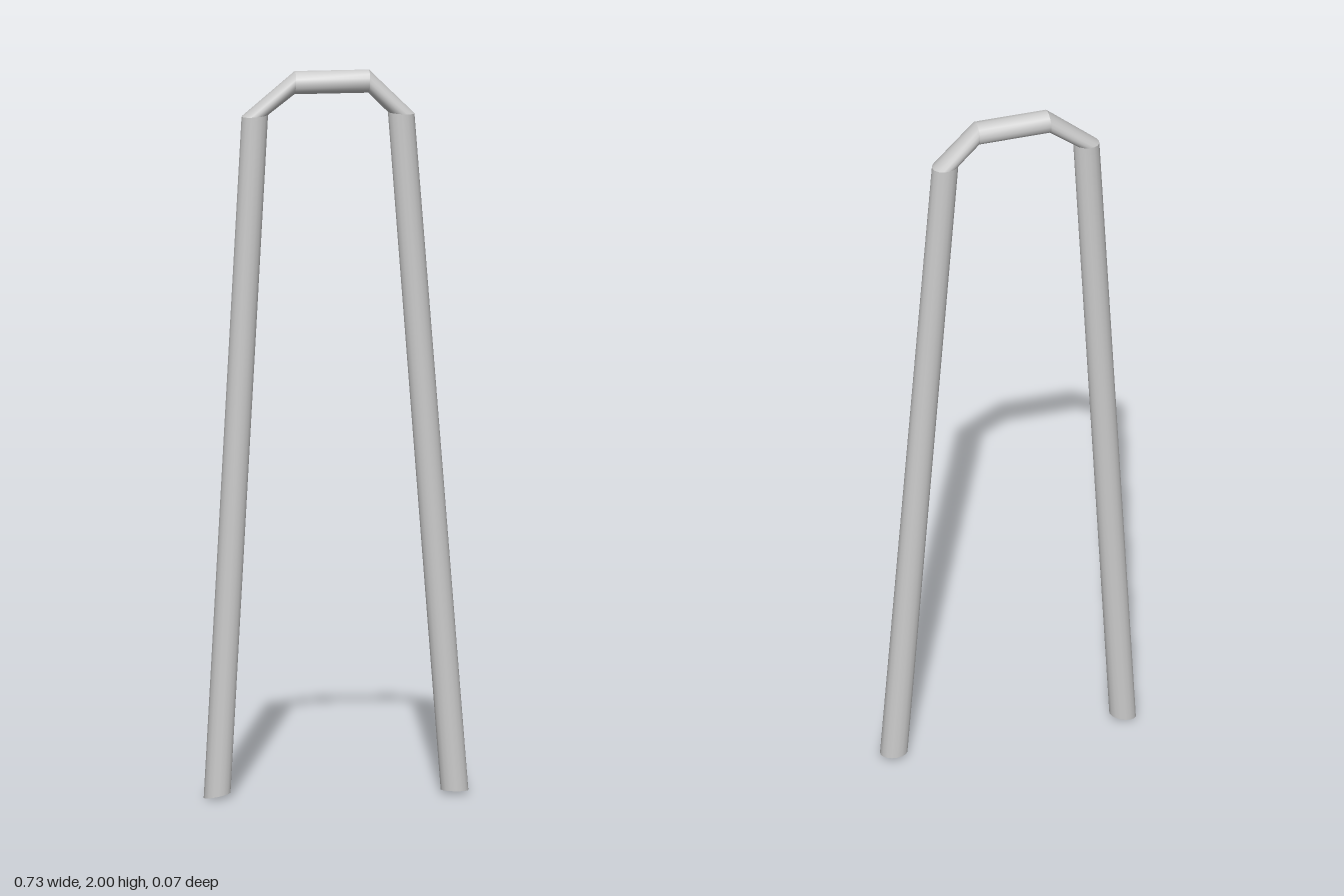
import * as THREE from 'three';

const SIDES = 16;
const HALF_DEPTH = 0.033;

// Each ring is an ellipse given by its outer and inner point in the XY plane
const RINGS = [
  { outer: [-0.364, 0.0], inner: [-0.29, 0.015] },
  { outer: [-0.26, 1.877], inner: [-0.187, 1.882] },
  { outer: [-0.113, 2.0], inner: [-0.116, 1.936] },
  { outer: [0.09, 2.0], inner: [0.088, 1.936] },
  { outer: [0.215, 1.877], inner: [0.142, 1.882] },
  { outer: [0.363, 0.008], inner: [0.287, 0.01] },
];

function ringPoints({ outer, inner }) {
  const cx = (outer[0] + inner[0]) / 2, cy = (outer[1] + inner[1]) / 2;
  const points = [];
  for (let j = 0; j < SIDES; j++) {
    const a = (j / SIDES) * Math.PI * 2, c = Math.cos(a);
    points.push(cx + c * (outer[0] - cx), cy + c * (outer[1] - cy), Math.sin(a) * HALF_DEPTH);
  }
  return points;
}

function makeMesh(name, positions, index, material) {
  const geometry = new THREE.BufferGeometry();
  geometry.setAttribute('position', new THREE.Float32BufferAttribute(positions, 3));
  geometry.setIndex(index);
  geometry.computeVertexNormals();
  const mesh = new THREE.Mesh(geometry, material);
  mesh.name = name;
  return mesh;
}

// Smooth tube wall between two rings, with a crisp joint to its neighbours
function tubeSegment(name, from, to, material) {
  const index = [];
  for (let j = 0; j < SIDES; j++) {
    const k = (j + 1) % SIDES;
    index.push(j, k, SIDES + j, k, SIDES + k, SIDES + j);
  }
  return makeMesh(name, [...ringPoints(from), ...ringPoints(to)], index, material);
}

// Flat disc closing the foot of a leg
function footCap(name, ring, atStart, material) {
  const index = [];
  for (let j = 1; j < SIDES - 1; j++) {
    index.push(...(atStart ? [0, j + 1, j] : [0, j, j + 1]));
  }
  return makeMesh(name, ringPoints(ring), index, material);
}

export function createModel() {
  const group = new THREE.Group();
  group.name = 'bentTubeFrame';
  const material = new THREE.MeshStandardMaterial({ color: 0xcccccc });

  // Legs, sloping shoulders and crossbar, in order along the tube
  const names = ['rightLeg', 'rightShoulder', 'crossbar', 'leftShoulder', 'leftLeg'];
  names.forEach((name, i) => group.add(tubeSegment(name, RINGS[i], RINGS[i + 1], material)));

  group.add(footCap('rightFootCap', RINGS[0], true, material));
  group.add(footCap('leftFootCap', RINGS[5], false, material));
  return group;
}
